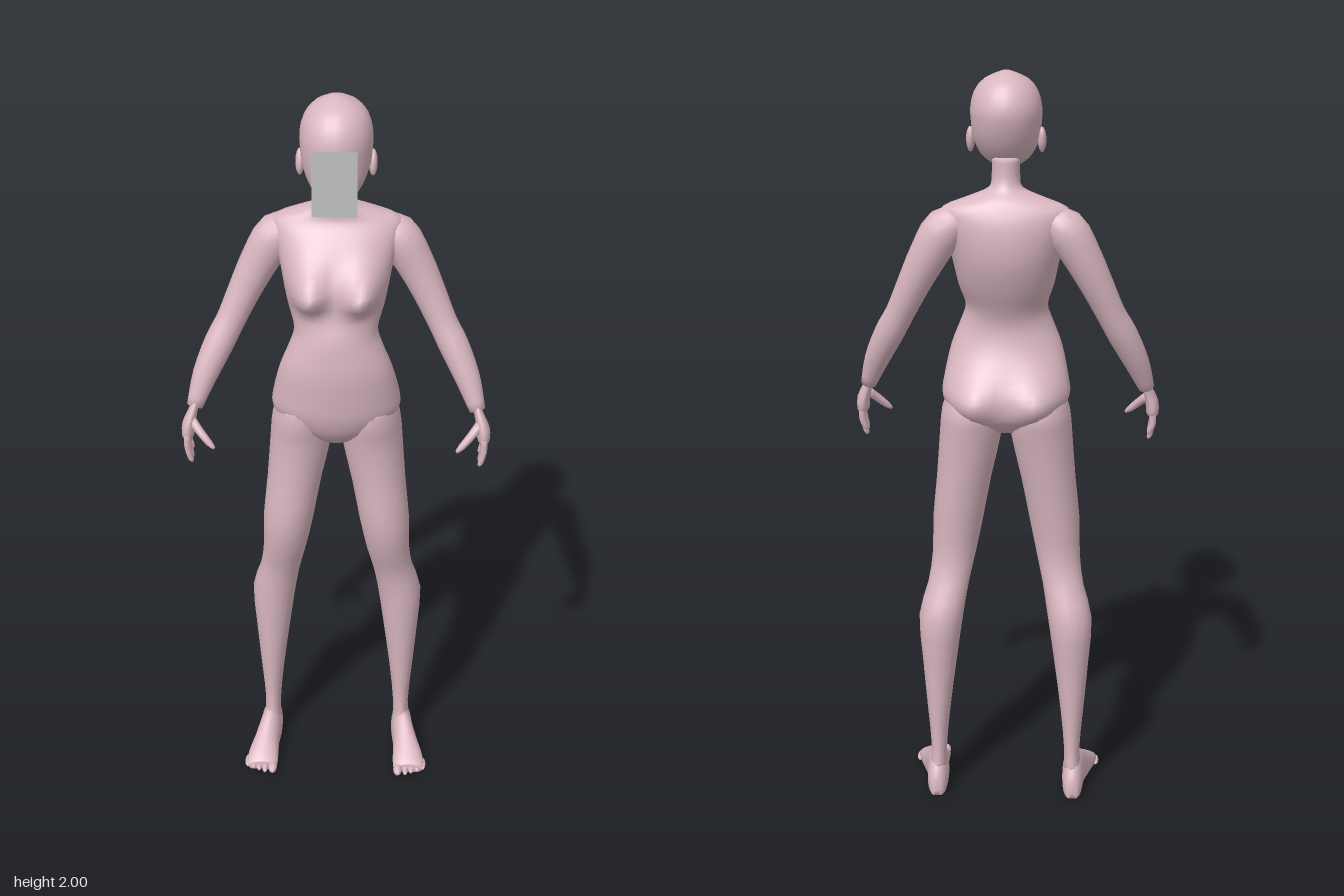
import * as THREE from 'three';

const V = (x, y, z) => new THREE.Vector3(x, y, z);
const X = V(1, 0, 0);

// Smoothly interpolates rows of numbers, adding n steps between each pair
function smooth(rows, n) {
  const out = [];
  for (let i = 0; i < rows.length - 1; i++) {
    const a = rows[Math.max(i - 1, 0)], b = rows[i], c = rows[i + 1], d = rows[Math.min(i + 2, rows.length - 1)];
    for (let k = 0; k < n; k++) {
      const t = k / n;
      out.push(b.map((_, j) => b[j] + 0.5 * t * (c[j] - a[j] + t * (2 * a[j] - 5 * b[j] + 4 * c[j] - d[j]
        + t * (3 * (b[j] - c[j]) + d[j] - a[j])))));
    }
  }
  out.push(rows[rows.length - 1]);
  return out;
}

// Closed skin over elliptical sections {c, u, v}; u x v points along the loft
function loft(sections, seg, rule) {
  const pos = [], idx = [];
  for (const { c, u, v } of sections) {
    for (let j = 0; j < seg; j++) {
      const a = (j / seg) * Math.PI * 2;
      const p = c.clone().addScaledVector(u, Math.cos(a)).addScaledVector(v, Math.sin(a));
      if (rule) rule(p, c);
      pos.push(p.x, p.y, p.z);
    }
  }
  const rings = sections.length, last = (rings - 1) * seg;
  const first = sections[0].c, end = sections[rings - 1].c;
  pos.push(first.x, first.y, first.z, end.x, end.y, end.z);
  for (let j = 0; j < seg; j++) {
    const k = (j + 1) % seg;
    for (let i = 0; i < rings - 1; i++) {
      const a = i * seg, b = a + seg;
      idx.push(a + j, a + k, b + k, a + j, b + k, b + j);
    }
    idx.push(rings * seg, k, j, rings * seg + 1, last + j, last + k);
  }
  const g = new THREE.BufferGeometry();
  g.setAttribute('position', new THREE.Float32BufferAttribute(pos, 3));
  g.setIndex(idx);
  g.computeVertexNormals();
  return g;
}

// Tapered tube through rows [x, y, z, radius]; flat thins it sideways
function tube(rows, seg, flat = 1, steps = 2) {
  const pts = smooth(rows, steps);
  const at = (i) => V(...pts[Math.min(Math.max(i, 0), pts.length - 1)].slice(0, 3));
  return loft(pts.map((p, i) => {
    const d = at(i + 1).sub(at(i - 1)).normalize();
    const u = X.clone().cross(d).normalize();
    return { c: at(i), u: u.clone().multiplyScalar(p[3]), v: d.cross(u).multiplyScalar(p[3] * flat) };
  }), seg);
}

// Upright loft through rows [y, halfWidth, front z, back z]
function upright(rows, seg, steps, rule) {
  return loft(smooth(rows, steps).map(([y, w, f, b]) => ({
    c: V(0, y, (f + b) / 2), u: V(0, 0, (f - b) / 2), v: V(w, 0, 0),
  })), seg, rule);
}

const bump = (dx, dy) => Math.exp(-dx * dx - dy * dy);

export function createModel() {
  const root = new THREE.Group();
  const skin = new THREE.MeshStandardMaterial({ color: 0xdab7c1 });
  skin.name = 'skin';
  const grey = new THREE.MeshStandardMaterial({ color: 0xbfc3c1, side: THREE.DoubleSide });
  grey.name = 'plate grey';
  const add = (parent, name, geometry, material = skin) => {
    const m = new THREE.Mesh(geometry, material);
    m.name = name;
    parent.add(m);
    return m;
  };
  const ball = (parent, name, p, s) => {
    const m = add(parent, name, new THREE.SphereGeometry(1, 12, 8));
    m.position.set(...p);
    m.scale.set(...s);
    return m;
  };

  // Torso and neck, with the chest and seat swelled from the plain loft
  const torso = [
    [1.06, 0.06, 0.05, -0.06], [1.10, 0.13, 0.085, -0.105], [1.15, 0.166, 0.105, -0.115],
    [1.20, 0.163, 0.113, -0.105], [1.28, 0.145, 0.12, -0.068], [1.34, 0.122, 0.117, -0.056],
    [1.39, 0.107, 0.11, -0.07], [1.45, 0.123, 0.092, -0.1], [1.52, 0.137, 0.085, -0.126],
    [1.58, 0.15, 0.06, -0.133], [1.63, 0.162, 0.03, -0.128], [1.665, 0.158, 0.004, -0.115],
    [1.69, 0.095, 0.0, -0.1], [1.71, 0.044, 0.006, -0.078], [1.74, 0.036, 0.018, -0.066],
    [1.79, 0.036, 0.02, -0.065],
  ];
  add(root, 'torso', upright(torso, 40, 3, (p, c) => {
    const side = Math.abs(p.x);
    if (p.z > c.z + 0.005) {
      p.z += 0.07 * bump((side - 0.07) / 0.045, (p.y - 1.505) / (p.y > 1.505 ? 0.065 : 0.04));
    } else if (p.z < c.z - 0.005) {
      p.z -= 0.046 * bump((side - 0.09) / 0.06, (p.y - 1.15) / 0.06);
    }
  }));

  // Head
  const head = new THREE.Group();
  head.name = 'head';
  root.add(head);
  add(head, 'skull', upright([
    [1.745, 0.024, 0.082, 0.035], [1.765, 0.048, 0.09, -0.015], [1.79, 0.068, 0.093, -0.06],
    [1.83, 0.084, 0.093, -0.088], [1.87, 0.089, 0.097, -0.105], [1.91, 0.09, 0.096, -0.113],
    [1.95, 0.08, 0.08, -0.1], [1.98, 0.055, 0.05, -0.075], [2.0, 0.012, 0.0, -0.03],
  ], 24, 2));
  add(head, 'nose', tube([[0, 1.85, 0.09, 0.004], [0, 1.825, 0.097, 0.009], [0, 1.804, 0.106, 0.012], [0, 1.796, 0.108, 0.004]], 8));
  ball(head, 'lips', [0, 1.774, 0.09], [0.02, 0.009, 0.01]);

  for (const s of [1, -1]) {
    const sideName = s > 0 ? 'left' : 'right';
    const mir = (rows) => rows.map(([x, ...r]) => [x * s, ...r]);

    ball(head, sideName + 'Ear', [s * 0.09, 1.828, -0.012], [0.011, 0.034, 0.018]).rotation.x = -0.2;

    // Arm and hand
    const arm = new THREE.Group();
    arm.name = sideName + 'Arm';
    root.add(arm);
    add(arm, 'arm', tube(mir([
      [0.1, 1.632, -0.065, 0.03], [0.15, 1.612, -0.063, 0.054], [0.195, 1.54, -0.06, 0.05],
      [0.235, 1.46, -0.05, 0.043], [0.272, 1.38, -0.034, 0.038], [0.303, 1.32, -0.017, 0.039],
      [0.34, 1.24, 0.01, 0.033], [0.368, 1.16, 0.038, 0.021],
    ]), 16, 1, 3));
    add(arm, 'palm', tube(mir([
      [0.364, 1.175, 0.034, 0.02], [0.374, 1.145, 0.045, 0.026], [0.384, 1.115, 0.052, 0.034],
      [0.386, 1.085, 0.055, 0.033], [0.385, 1.075, 0.055, 0.02],
    ]), 12, 0.5));
    for (let i = 0; i < 4; i++) {
      const z = 0.031 + i * 0.016, tip = [1.03, 1.012, 1.006, 1.016][i];
      add(arm, 'finger', tube(mir([
        [0.386, 1.095, z, 0.009], [0.387, 1.06, z + 0.001, 0.0085],
        [0.38, tip + 0.01, z + 0.002, 0.007], [0.376, tip, z + 0.002, 0.003],
      ]), 8));
    }
    add(arm, 'thumb', tube(mir([
      [0.376, 1.13, 0.06, 0.013], [0.352, 1.105, 0.08, 0.011], [0.328, 1.08, 0.094, 0.009], [0.315, 1.068, 0.1, 0.004],
    ]), 8));

    // Leg: rows of [y, inner x, outer x, front z, back z]
    const leg = new THREE.Group();
    leg.name = sideName + 'Leg';
    root.add(leg);
    const rows = [
      [1.17, 0.02, 0.15, 0.085, -0.1], [1.12, 0.01, 0.168, 0.088, -0.125], [1.05, 0.012, 0.175, 0.073, -0.112],
      [0.92, 0.04, 0.185, 0.067, -0.092], [0.8, 0.062, 0.197, 0.07, -0.077], [0.7, 0.082, 0.199, 0.048, -0.068],
      [0.62, 0.1, 0.21, 0.02, -0.085], [0.53, 0.115, 0.234, 0.009, -0.119], [0.4, 0.133, 0.227, 0.0, -0.108],
      [0.25, 0.152, 0.215, -0.012, -0.098], [0.13, 0.163, 0.206, -0.018, -0.09], [0.06, 0.162, 0.212, 0.0, -0.1],
    ];
    add(leg, 'leg', loft(smooth(rows, 2).map(([y, a, b, f, k]) => ({
      c: V(s * (a + b) / 2, y, (f + k) / 2), u: V((b - a) / 2, 0, 0), v: V(0, 0, (f - k) / 2),
    })), 20));

    // Foot: rows of [z, centre x, halfWidth, height], flattened underneath
    const foot = [
      [-0.113, 0.188, 0.014, 0.045], [-0.09, 0.188, 0.027, 0.09], [-0.03, 0.19, 0.031, 0.115],
      [0.02, 0.2, 0.035, 0.085], [0.07, 0.208, 0.043, 0.055], [0.105, 0.21, 0.044, 0.033], [0.115, 0.208, 0.038, 0.025],
    ];
    add(leg, 'foot', loft(smooth(foot, 2).map(([z, x, w, h]) => ({
      c: V(s * x, h * 0.35, z), u: V(w, 0, 0), v: V(0, h * 0.65, 0),
    })), 20, (p) => { p.y = Math.max(p.y, 0); }));
    for (let i = 0; i < 5; i++) {
      const r = i ? 0.0085 : 0.0125, front = [0.145, 0.14, 0.132, 0.124, 0.115][i];
      const x = i ? 0.184 + i * 0.0168 : 0.179;
      ball(leg, 'toe', [s * x, r + 0.001, front - 0.025], [r, r, 0.025]);
    }
  }

  // Flat plate standing in front of the face
  add(root, 'facePlate', new THREE.PlaneGeometry(0.11, 0.168), grey).position.set(0, 1.836, 0.148);
  return root;
}
